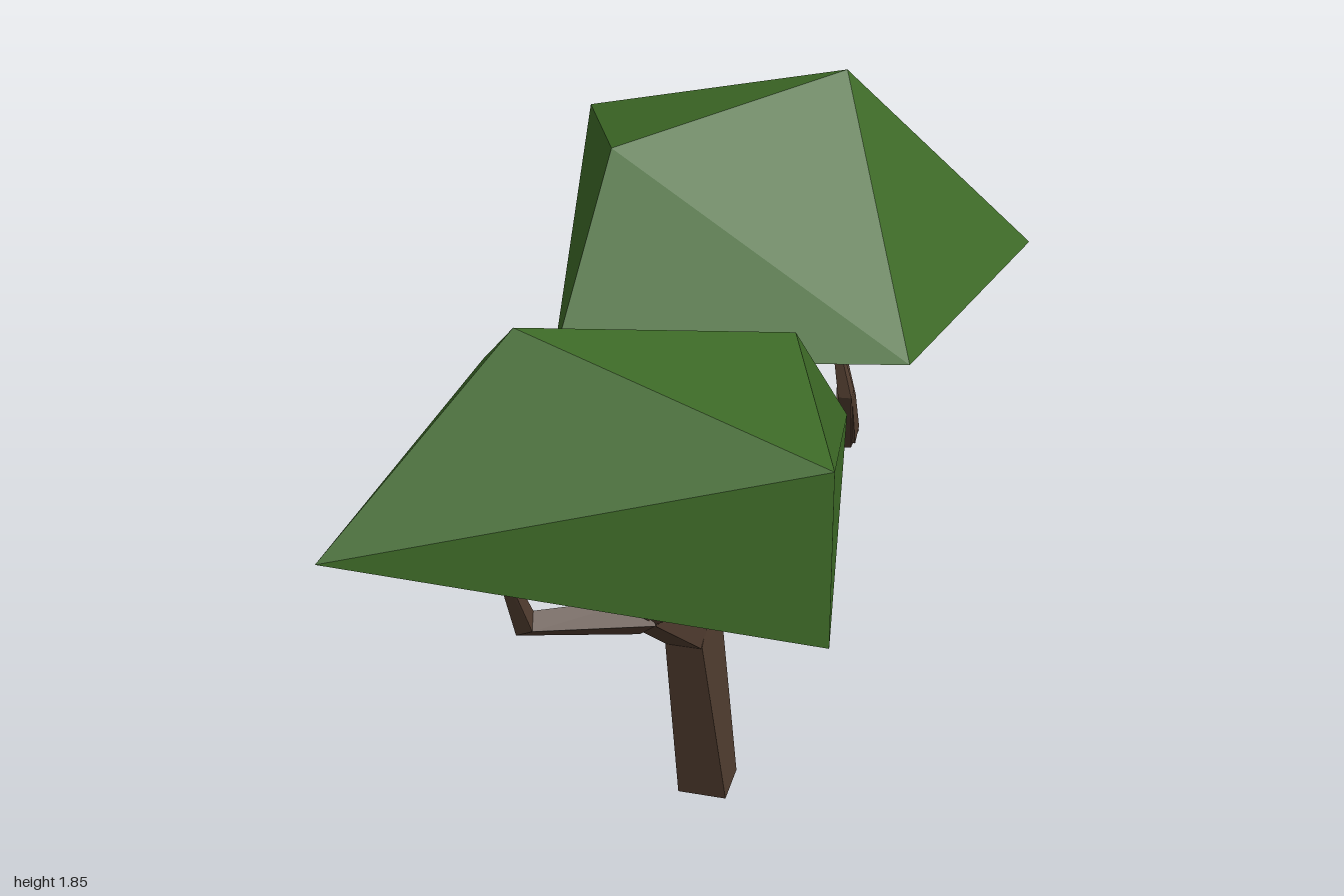
import * as THREE from 'three';
import { ConvexGeometry } from 'three/addons/geometries/ConvexGeometry.js';

const V = (p) => new THREE.Vector3(p[0], p[1], p[2]);

// Four-sided skin over cross-sections given as loops of four corners
function skin(rings) {
  const pos = [];
  const tri = (a, b, c) => pos.push(...a, ...b, ...c);
  for (let r = 0; r < rings.length - 1; r++) {
    for (let i = 0; i < 4; i++) {
      const j = (i + 1) % 4, [a, b] = [rings[r], rings[r + 1]];
      tri(a[i], b[j], a[j]);
      tri(a[i], b[i], b[j]);
    }
  }
  const s = rings[0], e = rings[rings.length - 1];
  tri(s[0], s[1], s[2]); tri(s[0], s[2], s[3]);
  tri(e[0], e[2], e[1]); tri(e[0], e[3], e[2]);
  const g = new THREE.BufferGeometry();
  g.setAttribute('position', new THREE.Float32BufferAttribute(pos, 3));
  g.computeVertexNormals();
  return g;
}

// Tapered limb along points [x, y, z, halfWidth]
function limb(path) {
  const up = new THREE.Vector3(0, 1, 0);
  const rings = path.map((p, i) => {
    const prev = V(path[Math.max(i - 1, 0)]), next = V(path[Math.min(i + 1, path.length - 1)]);
    const q = new THREE.Quaternion().setFromUnitVectors(up, next.sub(prev).normalize());
    return [[-1, -1], [1, -1], [1, 1], [-1, 1]].map(([x, z]) =>
      new THREE.Vector3(x * p[3], 0, z * p[3]).applyQuaternion(q).add(V(p)).toArray());
  });
  return skin(rings);
}

export function createModel() {
  const bark = new THREE.MeshStandardMaterial({ name: 'bark brown', color: 0x503c2f, flatShading: true });
  const leaf = new THREE.MeshStandardMaterial({ name: 'leaf green', color: 0x3c6826, flatShading: true });
  const tree = new THREE.Group();
  tree.name = 'tree';
  const add = (name, geometry, material) => {
    const mesh = new THREE.Mesh(geometry, material);
    mesh.name = name;
    tree.add(mesh);
  };

  // Trunk and the two main boughs; sections are [x0, x1, back y, back z, front y, front z]
  const section = ([x0, x1, yb, zb, yf, zf]) => [[x0, yb, zb], [x1, yb, zb], [x1, yf, zf], [x0, yf, zf]];
  const bough = (...s) => skin(s.map(section));
  add('trunk', bough([-0.16, -0.03, 0, -0.225, 0, -0.1], [-0.155, -0.06, 0.51, -0.19, 0.575, 0.02]), bark);
  add('frontBough', bough([-0.152, -0.062, 0.595, -0.06, 0.57, 0.02], [-0.145, -0.065, 0.935, 0.33, 0.905, 0.41]), bark);
  add('rearBough', bough([-0.155, -0.06, 0.51, -0.18, 0.6, -0.05], [-0.14, -0.06, 0.89, -0.54, 0.86, -0.44]), bark);
  add('fork', new ConvexGeometry([
    ...section([-0.155, -0.06, 0.51, -0.19, 0.575, 0.02]),
    [-0.15, 0.6, -0.055], [-0.065, 0.6, -0.055],
  ].map(V)), bark);

  // Twigs holding each crown
  const frontTwigs = [
    [[-0.1, 0.91, 0.38, 0.035], [-0.31, 1.0, 0.595, 0.024], [-0.335, 1.22, 0.67, 0.008]],
    [[-0.1, 0.9, 0.36, 0.035], [0.03, 1.22, 0.25, 0.022]],
    [[-0.1, 0.91, 0.38, 0.03], [-0.2, 1.06, 0.47, 0.018], [-0.26, 1.24, 0.56, 0.003]],
    [[-0.1, 0.91, 0.38, 0.02], [0.04, 1.02, 0.46, 0.012], [0.09, 1.19, 0.54, 0.004]],
  ];
  const rearTwigs = [
    [[-0.1, 0.86, -0.49, 0.04], [-0.1, 0.93, -0.5, 0.04], [-0.25, 1.37, -0.61, 0.015]],
    [[-0.1, 0.9, -0.48, 0.035], [0.22, 1.02, -0.35, 0.026], [0.235, 1.2, -0.23, 0.016], [0.2, 1.36, -0.24, 0.006]],
    [[0.22, 1.02, -0.35, 0.025], [0.23, 1.17, -0.26, 0.02], [0.2, 1.31, -0.32, 0.003]],
    [[0.2, 1.01, -0.36, 0.022], [0.08, 1.12, -0.5, 0.002]],
    [[-0.1, 0.89, -0.5, 0.035], [-0.4, 1.2, -0.75, 0.013], [-0.42, 1.31, -0.69, 0.004]],
  ];
  frontTwigs.forEach((p, i) => add('frontTwig' + (i + 1), limb(p), bark));
  rearTwigs.forEach((p, i) => add('rearTwig' + (i + 1), limb(p), bark));

  // Faceted leaf crowns
  add('frontCrown', new ConvexGeometry([
    [-0.59, 1.37, 1.0], [0.4, 1.18, 0.775], [0.39, 1.56, 0.72], [-0.28, 1.75, 0.64],
    [0.22, 1.63, 0.3], [0.27, 1.24, -0.06], [-0.47, 1.12, 0.07], [-0.49, 1.46, 0.27],
  ].map(V)), leaf);
  add('rearCrown', new ConvexGeometry([
    [-0.545, 1.28, -0.8], [-0.54, 1.66, -0.74], [0.21, 1.57, -1.0], [0.58, 1.33, -0.9],
    [0.4, 1.35, -0.13], [-0.41, 1.34, 0.03], [0.135, 1.845, -0.655], [-0.36, 1.73, -0.32],
  ].map(V)), leaf);

  return tree;
}
